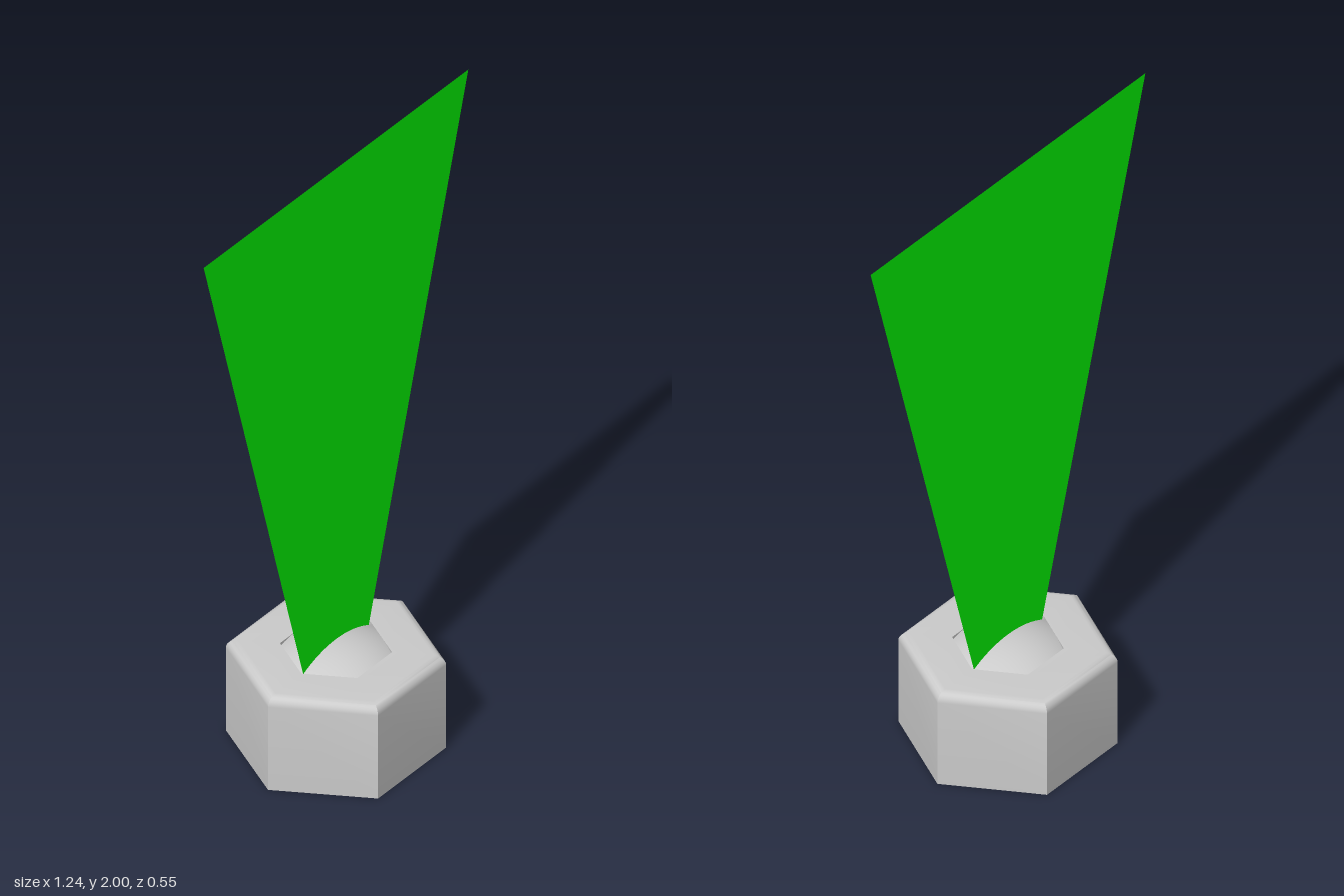
import * as THREE from 'three';
import { toCreasedNormals } from 'three/addons/utils/BufferGeometryUtils.js';

const HEX = Math.cos(Math.PI / 6); // flat-to-corner ratio of a hexagon
const FLAT = 0.275, HEIGHT = 0.32, FILLET = 0.03; // housing
const LENS_FLAT = 0.14, LENS_TOP = 0.35, LENS_R = 0.34; // lens

// Hexagonal housing: six-sided lathe with a rounded top edge and a socket
function housingGeometry() {
  const profile = [[0, 0], [FLAT, 0]];
  for (let i = 0; i <= 6; i++) {
    const a = (i / 6) * Math.PI / 2;
    profile.push([
      FLAT - FILLET + FILLET * Math.cos(a),
      HEIGHT - FILLET + FILLET * Math.sin(a),
    ]);
  }
  profile.push([LENS_FLAT, HEIGHT], [LENS_FLAT, HEIGHT - 0.03]);
  const points = profile.map(([r, y]) => new THREE.Vector2(r / HEX, y));
  return toCreasedNormals(new THREE.LatheGeometry(points, 6, Math.PI / 2), 0.6);
}

// Spherical cap trimmed to a hexagonal outline
function lensGeometry() {
  const geo = new THREE.RingGeometry(0, 1, 48, 8).rotateX(-Math.PI / 2);
  const pos = geo.attributes.position, normal = geo.attributes.normal;
  const centreY = LENS_TOP - LENS_R, sector = Math.PI / 3;
  for (let i = 0; i < pos.count; i++) {
    const a = Math.atan2(pos.getZ(i), pos.getX(i)) + 2 * Math.PI;
    const s = LENS_FLAT / Math.cos((a % sector) - sector / 2);
    const x = pos.getX(i) * s, z = pos.getZ(i) * s;
    const h = Math.sqrt(LENS_R ** 2 - x * x - z * z);
    pos.setXYZ(i, x, centreY + h, z);
    normal.setXYZ(i, x / LENS_R, h / LENS_R, z / LENS_R);
  }
  return geo;
}

// Flat light beam widening upward from the lens
function beamGeometry() {
  return new THREE.ShapeGeometry(new THREE.Shape([
    new THREE.Vector2(-0.153, 0.312),
    new THREE.Vector2(0.153, 0.312),
    new THREE.Vector2(0.618, 2),
    new THREE.Vector2(-0.618, 2),
  ]));
}

export function createModel() {
  const group = new THREE.Group();
  const grey = new THREE.MeshStandardMaterial({ color: 0xcccccc });
  const green = new THREE.MeshStandardMaterial({ color: 0x00ff00, side: THREE.DoubleSide });
  const add = (name, geometry, material) => {
    const mesh = new THREE.Mesh(geometry, material);
    mesh.name = name;
    group.add(mesh);
  };
  add('housing', housingGeometry(), grey);
  add('lens', lensGeometry(), grey);
  add('beam', beamGeometry(), green);
  return group;
}
